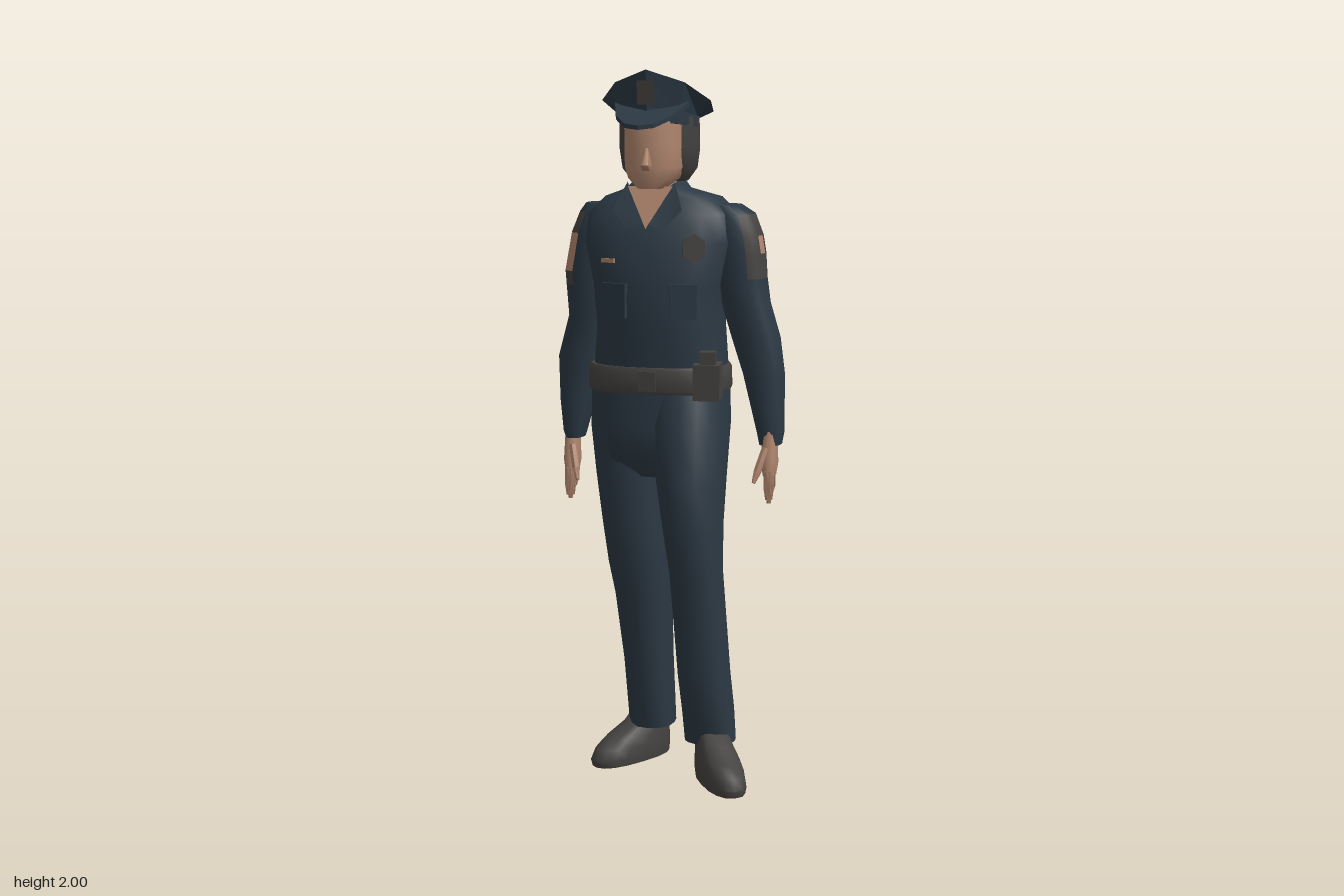
import * as THREE from 'three';
import { toCreasedNormals } from 'three/addons/utils/BufferGeometryUtils.js';

const flat = (name, color) => {
  const m = new THREE.MeshStandardMaterial({ color });
  m.name = name;
  return m;
};

export function createModel() {
  const model = new THREE.Group();
  model.name = 'uniformedFigure';
  const navy = flat('navyCloth', 0x2b3843);
  const grey = flat('darkGrey', 0x444240);
  const skinTone = flat('skin', 0xae846c);
  const mats = [navy, grey, skinTone];

  function add(name, geometry, material, parent = model) {
    const mesh = new THREE.Mesh(geometry, material);
    mesh.name = name;
    parent.add(mesh);
    return mesh;
  }

  // Closed skin over rings of [x, y, z], ordered top to bottom; pick(row, angle) gives a material index.
  function skin(name, rings, material, { parent, pick, crease = 0.9 } = {}) {
    const n = rings[0].length, last = rings.length - 1;
    const pos = rings.flat(2), lists = [[], [], []];
    for (let i = 0; i < last; i++) for (let j = 0; j < n; j++) {
      const a = i * n + j, b = i * n + (j + 1) % n;
      lists[pick ? pick(i, (j + 0.5) / n * 2 * Math.PI) : 0].push(a, a + n, b + n, a, b + n, b);
    }
    for (const r of [0, last]) {
      const c = pos.length / 3;
      for (let k = 0; k < 3; k++) pos.push(rings[r].reduce((s, p) => s + p[k], 0) / n);
      for (let j = 0; j < n; j++) {
        const a = r * n + j, b = r * n + (j + 1) % n;
        lists[0].push(c, ...(r ? [b, a] : [a, b]));
      }
    }
    const g = new THREE.BufferGeometry();
    g.setAttribute('position', new THREE.Float32BufferAttribute(pos, 3));
    g.setIndex(lists.flat());
    if (pick) {
      let start = 0;
      lists.forEach((l, m) => { if (l.length) g.addGroup(start, l.length, m); start += l.length; });
    }
    return add(name, toCreasedNormals(g, crease), pick ? mats : material, parent);
  }

  // Rounded cross-section that fills the box [y, x0, x1, z0, z1]
  const power = (v, p) => Math.sign(v) * Math.abs(v) ** p;
  const ring = ([y, x0, x1, z0, z1], n = 16, p = 0.82) => Array.from({ length: n }, (_, j) => {
    const a = j / n * 2 * Math.PI;
    return [(x0 + x1) / 2 + (x1 - x0) / 2 * power(Math.sin(a), p), y,
      (z0 + z1) / 2 + (z1 - z0) / 2 * power(Math.cos(a), p)];
  });
  const loft = (name, rows, material, opts = {}) => skin(name, rows.map(r => ring(r, opts.n)), material, opts);

  // Torso and belt
  loft('shirt', [
    [1.695, -0.1, 0.04, -0.16, -0.05], [1.67, -0.12, 0.06, -0.175, -0.02], [1.645, -0.19, 0.15, -0.205, -0.015],
    [1.6, -0.235, 0.195, -0.225, 0.02], [1.52, -0.24, 0.2, -0.245, 0.055], [1.4, -0.21, 0.165, -0.24, 0.075],
    [1.28, -0.2, 0.165, -0.225, 0.07], [1.16, -0.21, 0.175, -0.213, 0.062]], navy, { n: 20 });
  loft('belt', [[1.175, -0.218, 0.178, -0.218, 0.068], [1.165, -0.225, 0.184, -0.222, 0.072],
    [1.11, -0.226, 0.186, -0.223, 0.074], [1.1, -0.22, 0.182, -0.218, 0.07]], grey, { n: 20 });
  loft('trouserSeat', [[1.12, -0.217, 0.18, -0.217, 0.064], [1.0, -0.218, 0.183, -0.215, 0.07],
    [0.91, -0.19, 0.17, -0.18, 0.07], [0.86, -0.11, 0.09, -0.12, 0.04]], navy, { n: 20 });

  // Trouser legs, the left one set forward
  loft('rightTrouserLeg', [
    [1.1, -0.215, 0, -0.21, 0.04], [1.0, -0.22, 0, -0.22, 0.048], [0.86, -0.2, 0, -0.175, 0.05],
    [0.72, -0.18, 0, -0.16, 0.05], [0.6, -0.165, 0.005, -0.168, 0.04], [0.5, -0.15, 0.005, -0.188, 0.02],
    [0.3, -0.13, 0.005, -0.195, -0.01], [0.1, -0.12, 0.01, -0.2, -0.04]], navy);
  loft('leftTrouserLeg', [
    [1.1, -0.03, 0.18, -0.2, 0.07], [1.0, -0.02, 0.186, -0.185, 0.11], [0.86, 0, 0.188, -0.12, 0.145],
    [0.73, 0.025, 0.188, -0.068, 0.155], [0.6, 0.045, 0.19, -0.042, 0.14], [0.45, 0.055, 0.2, -0.045, 0.125],
    [0.3, 0.065, 0.21, -0.05, 0.115], [0.19, 0.075, 0.22, -0.055, 0.1], [0.1, 0.08, 0.225, -0.05, 0.08]], navy);

  // Shoes, turned outwards
  for (const [name, x, z, turn] of [['leftShoe', 0.165, 0.04, 0.53], ['rightShoe', -0.07, -0.13, -0.51]]) {
    const shoe = loft(name, [
      [0.14, -0.045, 0.045, -0.06, 0.04], [0.105, -0.048, 0.048, -0.064, 0.085], [0.075, -0.054, 0.054, -0.068, 0.16],
      [0.05, -0.057, 0.057, -0.07, 0.205], [0.02, -0.058, 0.058, -0.07, 0.224], [0, -0.055, 0.055, -0.068, 0.218]], grey);
    shoe.position.set(x, 0, z);
    shoe.rotation.y = turn;
  }

  // Sleeves with shoulder patches
  loft('leftSleeve', [
    [1.625, 0.12, 0.205, -0.165, -0.055], [1.6, 0.12, 0.245, -0.178, -0.04], [1.54, 0.125, 0.268, -0.185, -0.03],
    [1.49, 0.13, 0.277, -0.182, -0.028], [1.42, 0.14, 0.282, -0.176, -0.028], [1.35, 0.155, 0.292, -0.17, -0.032],
    [1.25, 0.185, 0.322, -0.166, -0.038], [1.15, 0.218, 0.335, -0.16, -0.042], [0.985, 0.262, 0.338, -0.138, -0.04],
    [0.95, 0.27, 0.332, -0.13, -0.042]], navy, {
    pick: (i, a) => {
      const out = Math.cos(a - Math.PI / 2);
      return i === 2 && a > 1.2 && a < 1.57 ? 2 : i > 0 && i < 4 && out > 0.5 ? 1 : 0;
    } });
  loft('rightSleeve', [
    [1.625, -0.25, -0.16, -0.19, -0.065], [1.6, -0.268, -0.16, -0.2, -0.055], [1.54, -0.293, -0.165, -0.207, -0.05],
    [1.43, -0.315, -0.18, -0.215, -0.055], [1.39, -0.313, -0.185, -0.217, -0.06], [1.3, -0.308, -0.19, -0.22, -0.07],
    [1.18, -0.342, -0.21, -0.215, -0.08], [1.05, -0.336, -0.238, -0.2, -0.08], [0.96, -0.326, -0.262, -0.185, -0.085],
    [0.94, -0.32, -0.268, -0.18, -0.09]], navy, {
    pick: (i, a) => {
      const t = 2 * Math.PI - a;
      return i === 2 && t > 0.35 && t < 1.6 ? 2 : i > 0 && i < 4 && t > 0.35 && t < 2.4 ? 1 : 0;
    } });

  // Hands with fingers and thumb
  for (const [side, s, x, y, z] of [['left', 1, 0.303, 0.97, -0.065], ['right', -1, -0.3, 0.945, -0.125]]) {
    const hand = new THREE.Group();
    hand.name = side + 'Hand';
    hand.position.set(x, y, z);
    model.add(hand);
    const opts = { parent: hand, n: 10 };
    loft('palm', [[0.02, -0.02, 0.02, -0.03, 0.025], [-0.03, -0.022, 0.022, -0.032, 0.032],
      [-0.07, -0.022, 0.024, -0.034, 0.045], [-0.105, -0.016, 0.018, -0.03, 0.045]], skinTone, opts);
    [[-0.022, 0.155], [-0.002, 0.178], [0.018, 0.185], [0.037, 0.172]].forEach(([fz, len], k) => {
      const finger = loft('finger' + (k + 1), [[-0.09, -0.011, 0.011, -0.011, 0.011],
        [-0.14, -0.011, 0.011, -0.01, 0.01], [-len, -0.006, 0.006, -0.006, 0.006]], skinTone, { parent: hand, n: 6 });
      finger.position.set(s * 0.002, 0, fz);
    });
    const thumb = loft('thumb', [[0.02, -0.011, 0.011, -0.013, 0.013], [-0.05, -0.011, 0.011, -0.011, 0.011],
      [-0.085, -0.005, 0.005, -0.006, 0.006]], skinTone, { parent: hand, n: 6 });
    thumb.position.set(-s * 0.012, -0.045, 0.03);
    thumb.rotation.set(-0.4, 0, -s * 0.25);
  }

  // Neck, head and hair
  loft('neck', [[1.74, -0.09, 0.03, -0.16, -0.025], [1.6, -0.1, 0.04, -0.165, -0.015]], skinTone);
  loft('head', [[1.86, -0.118, 0.06, -0.17, 0.03], [1.79, -0.115, 0.058, -0.17, 0.04],
    [1.73, -0.112, 0.055, -0.16, 0.045], [1.7, -0.1, 0.042, -0.14, 0.044],
    [1.672, -0.068, 0.008, -0.07, 0.035]], skinTone);
  loft('nose', [[1.785, -0.036, -0.024, 0.025, 0.042], [1.738, -0.046, -0.014, 0.02, 0.073],
    [1.722, -0.042, -0.018, 0.02, 0.05]], skinTone, { n: 8 });
  loft('hair', [[1.87, -0.142, 0.082, -0.2, 0], [1.78, -0.142, 0.083, -0.206, 0],
    [1.725, -0.135, 0.075, -0.2, -0.012], [1.69, -0.11, 0.05, -0.172, -0.045]], grey);

  // Peaked cap: wide sloping crown, band and visor
  const rim = [[-0.03, 2.0, 0.047], [0.07, 1.965, 0.005], [0.126, 1.915, -0.07], [0.1, 1.882, -0.21],
    [-0.03, 1.862, -0.248], [-0.155, 1.882, -0.21], [-0.19, 1.915, -0.07], [-0.13, 1.965, 0.005]];
  const bandRing = (mid, tilt) => ring([0, -0.144, 0.084, -0.208, 0.038], 8, 1)
    .map(([x, , z], j) => [x, mid + tilt * Math.cos(j * Math.PI / 4), z]);
  skin('capCrown', [rim, bandRing(1.873, 0.024)], navy, { crease: 0.4 });
  skin('capBand', [bandRing(1.878, 0.024), bandRing(1.843, 0.012)], navy, { crease: 0.5 });
  const visorEdge = [[-0.03, 0.129], [0.012, 0.117], [0.05, 0.065], [0.078, -0.02],
    [-0.03, -0.03], [-0.138, -0.02], [-0.11, 0.065], [-0.072, 0.117]];
  skin('capVisor', [0, -0.012].map(d => visorEdge.map(([x, z]) => [x, 1.903 - 0.42 * z + d, z])), navy, { crease: 0.5 });

  // Thin double-sided plates
  const doubles = new Map([navy, grey, skinTone].map(m => {
    const d = m.clone();
    d.side = THREE.DoubleSide;
    return [m, d];
  }));
  function plate(name, points, material) {
    const g = new THREE.BufferGeometry();
    g.setAttribute('position', new THREE.Float32BufferAttribute(points.flat(), 3));
    g.setIndex(points.length === 3 ? [0, 1, 2] : [0, 1, 2, 0, 2, 3]);
    g.computeVertexNormals();
    add(name, g, doubles.get(material));
  }
  plate('capBadge', [[-0.055, 1.905, 0.044], [-0.005, 1.905, 0.044], [-0.005, 1.97, 0.05], [-0.055, 1.97, 0.05]], grey);
  plate('openNeck', [[-0.095, 1.678, 0], [-0.03, 1.562, 0.052], [0.035, 1.678, 0]], skinTone);
  for (const s of [-1, 1]) {
    const at = (dx, y, z) => [-0.03 + s * dx, y, z];
    const points = [at(0.068, 1.69, -0.01), at(0.012, 1.575, 0.056), at(0.055, 1.56, 0.06), at(0.1, 1.615, 0.034)];
    plate(s > 0 ? 'leftCollar' : 'rightCollar', s > 0 ? points : points.reverse(), navy);
  }

  // Chest and belt fittings
  function box(name, size, at, turn, material) {
    const mesh = add(name, new THREE.BoxGeometry(...size), material);
    mesh.position.set(...at);
    mesh.rotation.y = turn;
  }
  box('rightPocket', [0.075, 0.085, 0.012], [-0.117, 1.355, 0.062], -0.3, navy);
  box('rightPocketFlap', [0.08, 0.025, 0.016], [-0.117, 1.398, 0.063], -0.3, navy);
  box('leftPocket', [0.075, 0.085, 0.012], [0.08, 1.355, 0.06], 0.3, navy);
  box('leftPocketFlap', [0.08, 0.025, 0.016], [0.08, 1.398, 0.061], 0.3, navy);
  box('namePlate', [0.045, 0.012, 0.008], [-0.14, 1.472, 0.046], -0.4, skinTone);
  box('beltBuckle', [0.05, 0.055, 0.008], [-0.02, 1.137, 0.074], 0, grey);
  box('beltPouch', [0.075, 0.1, 0.11], [0.145, 1.14, 0.032], 0.15, grey);
  box('beltRadio', [0.045, 0.09, 0.04], [0.15, 1.18, 0.05], 0.15, grey);

  const badge = add('chestBadge', new THREE.CylinderGeometry(0.036, 0.036, 0.009, 6), grey);
  badge.position.set(0.108, 1.51, 0.048);
  badge.rotation.set(Math.PI / 2, 0, -0.45);
  badge.scale.z = 1.15;

  return model;
}
